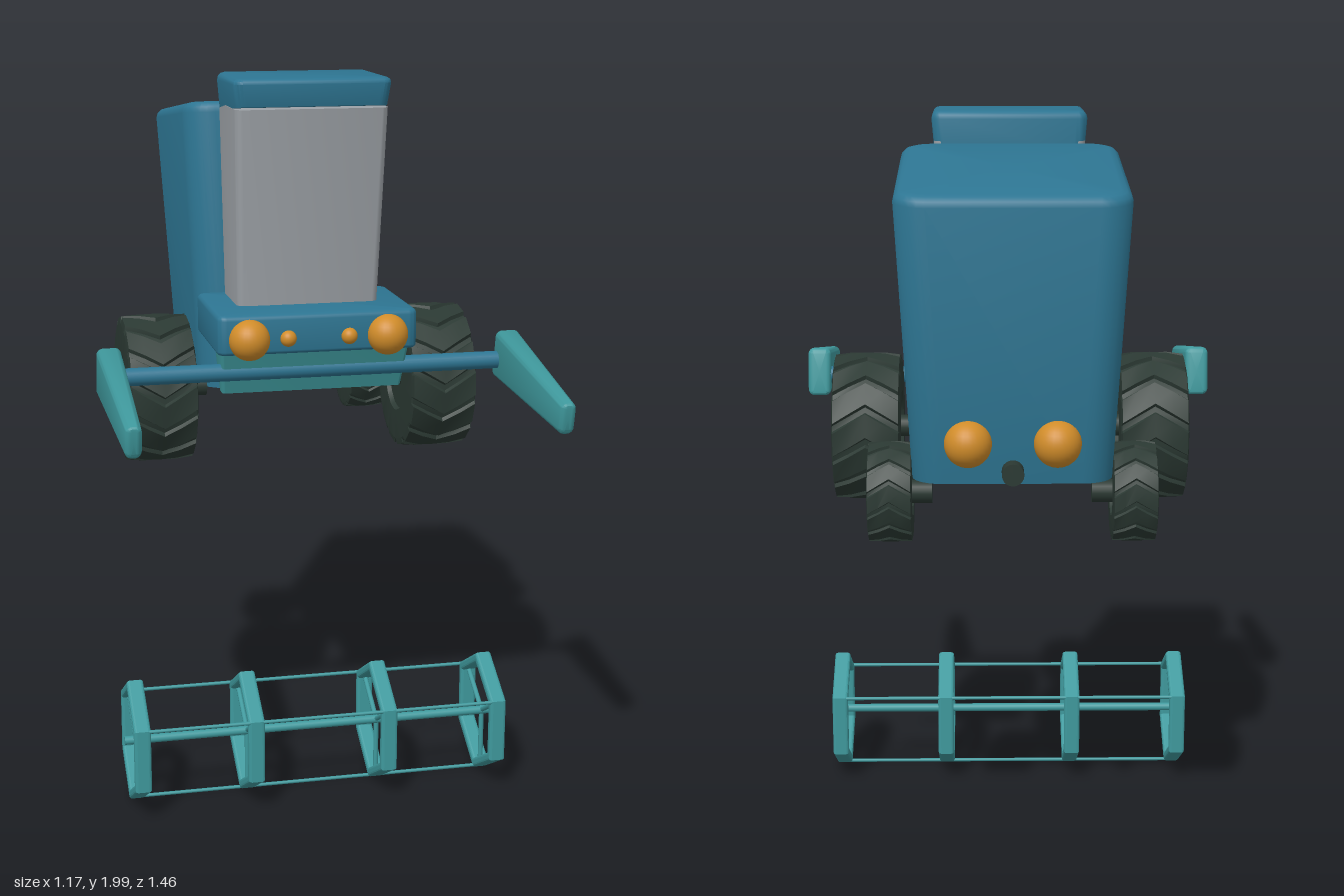
import * as THREE from 'three';
import { toCreasedNormals } from 'three/addons/utils/BufferGeometryUtils.js';

const material = (name, color) => {
  const m = new THREE.MeshStandardMaterial({ color });
  m.name = name;
  return m;
};

// Skin a list of point rings and close both ends
function skin(rings, crease = 0.6) {
  const n = rings[0].length;
  const pos = rings.flat(2);
  const index = [];
  rings.slice(1).forEach((_, k) => {
    for (let i = 0; i < n; i++) {
      const j = (i + 1) % n;
      const a = k * n + i, b = k * n + j, c = b + n, d = a + n;
      index.push(a, d, c, a, c, b);
    }
  });
  [0, rings.length - 1].forEach((k) => {
    const mid = [0, 1, 2].map((c) => rings[k].reduce((s, p) => s + p[c], 0) / n);
    const m = pos.length / 3;
    pos.push(...mid);
    for (let i = 0; i < n; i++) {
      const a = k * n + i, b = k * n + (i + 1) % n;
      if (k === 0) index.push(m, a, b);
      else index.push(m, b, a);
    }
  });
  const geo = new THREE.BufferGeometry();
  geo.setAttribute('position', new THREE.Float32BufferAttribute(pos, 3));
  geo.setIndex(index);
  return toCreasedNormals(geo, crease);
}

// Rounded rectangle ring in the xz plane
function roundRect(y, hw, z0, z1, r) {
  const pts = [];
  const corners = [[hw - r, z1 - r], [r - hw, z1 - r], [r - hw, z0 + r], [hw - r, z0 + r]];
  corners.forEach(([cx, cz], q) => {
    for (let s = 0; s <= 6; s++) {
      const a = (q + s / 6) * Math.PI / 2;
      pts.push([cx + r * Math.cos(a), y, cz + r * Math.sin(a)]);
    }
  });
  return pts;
}

// Tapered rounded block; ends are [y, halfWidth, zBack, zFront], bevels round the rims
function block(bottom, top, r, bevelBottom, bevelTop, warp = (p) => p) {
  const rings = [];
  const add = ([y, hw, z0, z1], dy, inset) =>
    rings.push(roundRect(y + dy, hw - inset, z0 + inset, z1 - inset, Math.max(r - inset, 0.002)).map(warp));
  const steps = [0, 1, 2, 3].map((i) => i * Math.PI / 6);
  if (bevelBottom) steps.forEach((a) => add(bottom, bevelBottom * (1 - Math.sin(a)), bevelBottom * (1 - Math.cos(a))));
  if (bevelBottom) rings.reverse();
  if (bevelBottom) rings.sort((p, q) => 0);
  else add(bottom, 0, 0);
  if (bevelBottom) {
    rings.length = 0;
    steps.slice().reverse().forEach((a) => add(bottom, bevelBottom * (1 - Math.sin(a)), bevelBottom * (1 - Math.cos(a))));
  }
  if (bevelTop) steps.forEach((a) => add(top, -bevelTop * (1 - Math.sin(a)), bevelTop * (1 - Math.cos(a))));
  else add(top, 0, 0);
  return skin(rings);
}

// Tyre around the x axis with chevron lugs
function tyre(R, hw, lugs, face) {
  const d = R * 0.05, shift = 0.55 * hw / R * 1.1;
  const ring = (x, r, tread) => {
    const pts = [];
    for (let i = 0; i < lugs * 4; i++) {
      const frac = [0, 0.7, 0.76, 0.94][i % 4];
      const a = (Math.floor(i / 4) + frac) / lugs * Math.PI * 2 + shift * (1 - Math.abs(x) / hw);
      const rr = tread && i % 4 > 1 ? r - d : r;
      pts.push([x, rr * Math.cos(a), rr * Math.sin(a)]);
    }
    return pts;
  };
  const side = (s) => [
    ring(s * (hw - 0.012), 0.002), ring(s * (hw - 0.012), face), ring(s * hw, face + 0.006),
    ring(s * hw, R * 0.9), ring(s * hw * 0.96, R * 0.985, true), ring(s * hw * 0.5, R, true),
  ];
  return skin([...side(1), ring(0, R, true), ...side(-1).reverse()], 0.35);
}

export function createModel() {
  const blue = material('body blue', 0x2d7592);
  const teal = material('implement teal', 0x3f999d);
  const dark = material('tyre dark green', 0x2b3933);
  const grey = material('cab grey', 0x9da2a7);
  const orange = material('lamp orange', 0xd08c2a);

  const model = new THREE.Group();
  const add = (name, geo, mat, x = 0, y = 0, z = 0, parent = model) => {
    const mesh = new THREE.Mesh(geo, mat);
    mesh.name = name;
    mesh.position.set(x, y, z);
    parent.add(mesh);
    return mesh;
  };
  const rodX = (r, length, sides = 20) => new THREE.CylinderGeometry(r, r, length, sides).rotateZ(Math.PI / 2);

  // Hopper, flared upward with a roof sloping to the rear
  add('hopper', block([1.11, 0.255, -0.64, -0.068], [1.92, 0.292, -0.735, -0.068], 0.08, 0, 0.03,
    ([x, y, z]) => [x, y + 0.125 * (z + 0.068) * (y - 1.11) / 0.81, z]), blue);

  // Cab
  add('cabWindows', block([1.385, 0.195, -0.055, 0.165], [1.92, 0.206, -0.055, 0.222], 0.025, 0, 0), grey);
  add('cabRoof', block([1.91, 0.205, -0.056, 0.222], [2, 0.212, -0.056, 0.236], 0.03, 0, 0.018,
    ([x, y, z]) => [x, y + (z - 0.08) * 0.12 * (2 - y) / 0.09, z]), blue);
  add('console', block([1.285, 0.272, -0.058, 0.297], [1.392, 0.272, -0.058, 0.297], 0.025, 0.01, 0.014), blue);
  add('feederPlate', block([1.165, 0.247, 0.165, 0.215], [1.287, 0.257, 0.15, 0.26], 0.008, 0, 0), teal);

  // Cross bar and side arms
  add('crossBar', rodX(0.024, 1.1), blue, 0, 1.225, 0.222);
  const arm = block([0.185, 0.033, -1.305, -1.169], [0.722, 0.021, -1.222, -1.135], 0.018, 0.014, 0.014,
    ([x, y, z]) => [x, y + 0.2 * (-z - 1.21), z]).rotateX(Math.PI / 2);
  for (const s of [-1, 1]) add('sideArm', arm, teal, s * 0.551);

  // Wheels
  const wheel = (name, x, y, z, R, hw, lugs, face, hubR, boreR) => {
    const tyreGeo = tyre(R, hw, lugs, face);
    for (const s of [-1, 1]) {
      const g = new THREE.Group();
      g.name = name;
      g.position.set(s * x, y, z);
      model.add(g);
      add('tyre', tyreGeo, dark, 0, 0, 0, g);
      add('hub', rodX(hubR, 0.02, 32), teal, s * (hw - 0.014), 0, 0, g);
      add('hubCap', rodX(boreR, 0.02, 24), dark, s * (hw - 0.009), 0, 0, g);
      add('axle', rodX(0.03, 0.1), dark, -s * hw, 0, 0, g);
    }
  };
  wheel('frontWheel', 0.394, 1.13, -0.045, 0.205, 0.093, 14, 0.095, 0.066, 0.034);
  wheel('rearWheel', 0.313, 1.057, -0.505, 0.13, 0.057, 14, 0.058, 0.052, 0.024);

  // Lamps and exhaust
  const ball = (r) => new THREE.SphereGeometry(r, 28, 18);
  for (const s of [-1, 1]) {
    add('headlamp', ball(0.055), orange, s * 0.188, 1.327, 0.296);
    add('markerLamp', ball(0.022), orange, s * 0.083, 1.327, 0.297);
    add('tailLamp', ball(0.06), orange, s * 0.112, 1.217, -0.657);
  }
  add('exhaust', new THREE.CylinderGeometry(0.028, 0.028, 0.09, 20).rotateX(Math.PI / 2), dark, 0, 1.145, -0.65);

  // Reel: hexagonal frames joined by an axle and three thin bars
  const reel = new THREE.Group();
  reel.name = 'reel';
  reel.position.set(0, 0.185, 0.222);
  model.add(reel);
  const hexagon = (r, Type) => new Type([...Array(6).keys()].map((i) => {
    const a = (i + 0.5) * Math.PI / 3;
    return new THREE.Vector2(r * Math.cos(a), r * Math.sin(a));
  }));
  const hex = hexagon(0.169, THREE.Shape);
  hex.holes.push(hexagon(0.158, THREE.Path));
  const frame = new THREE.ExtrudeGeometry(hex, { depth: 0.03, bevelThickness: 0.008, bevelSize: 0.008, bevelSegments: 3 })
    .translate(0, 0, -0.015).rotateY(Math.PI / 2);
  const corners = [1, 5, 9].map((k) => k * Math.PI / 6);
  for (const x of [-0.503, -0.188, 0.188, 0.503]) {
    add('reelFrame', frame, teal, x, 0, 0, reel);
    for (const a of corners) {
      const spoke = add('reelSpoke', new THREE.CylinderGeometry(0.007, 0.007, 0.16, 10), teal,
        x, 0.08 * Math.sin(a), 0.08 * Math.cos(a), reel);
      spoke.rotation.x = Math.PI / 2 - a;
    }
  }
  add('reelAxle', rodX(0.012, 1.07), teal, 0, 0, 0, reel);
  for (const a of corners) add('reelBar', rodX(0.005, 1.0, 10), teal, 0, 0.172 * Math.sin(a), 0.172 * Math.cos(a), reel);

  return model;
}
